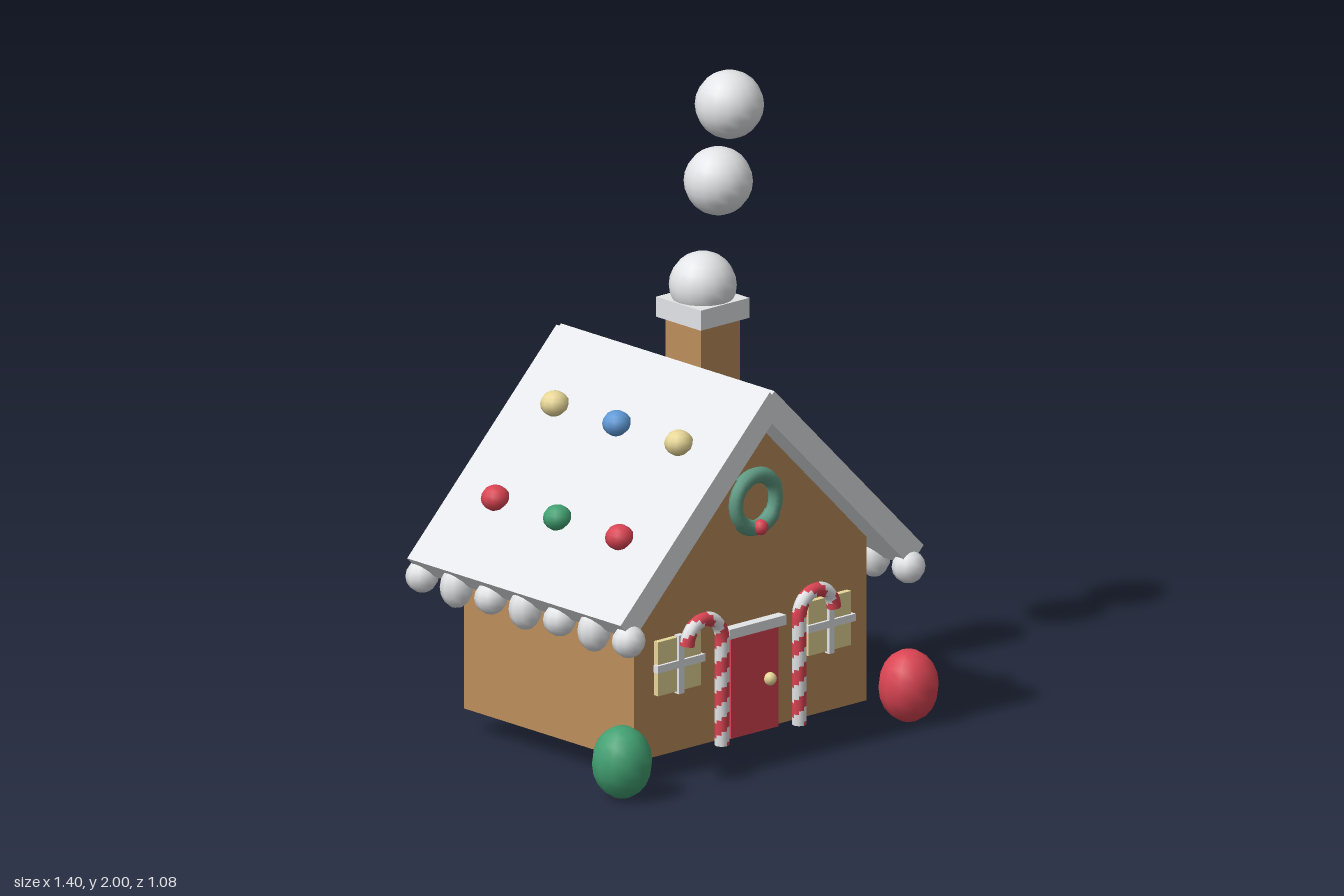
import * as THREE from 'three';

const mat = (name, color) => {
  const m = new THREE.MeshStandardMaterial({ color });
  m.name = name;
  return m;
};

export function createModel() {
  const brown = mat('gingerbread', 0xbc8e5c);
  const white = mat('icing', 0xf2f3f6);
  const red = mat('candy red', 0xd94452);
  const green = mat('candy green', 0x42a072);
  const yellow = mat('candy yellow', 0xf8e6a2);
  const blue = mat('candy blue', 0x5f99d6);
  const wreathGreen = mat('wreath green', 0x5f9a84);

  const house = new THREE.Group();
  house.name = 'gingerbreadHouse';

  const add = (name, geo, material, x = 0, y = 0, z = 0) => {
    const m = new THREE.Mesh(geo, material);
    m.name = name;
    m.position.set(x, y, z);
    house.add(m);
    return m;
  };
  const box = (name, material, w, h, d, x, y, z) =>
    add(name, new THREE.BoxGeometry(w, h, d), material, x, y, z);
  const ball = (name, material, rx, ry, x, y, z, w = 10, h = 8) => {
    const m = add(name, new THREE.SphereGeometry(1, w, h), material, x, y, z);
    m.scale.set(rx, ry, rx);
    return m;
  };

  // Gabled walls
  const gable = new THREE.Shape([
    [-0.49, 0.075], [0.49, 0.075], [0.49, 0.605], [0, 1.1], [-0.49, 0.605],
  ].map(([x, y]) => new THREE.Vector2(x, y)));
  add('walls', new THREE.ExtrudeGeometry(gable, { depth: 0.78, bevelEnabled: false }), brown, 0, 0, -0.39);

  // Roof slabs, icing along the eaves and gumdrops
  const gumdrops = {
    1: [[0.2, 1.03, [green, red, green]], [0.45, 0.775, [yellow, blue, yellow]]],
    '-1': [[0.205, 1.03, [yellow, blue, yellow]], [0.455, 0.775, [red, green, red]]],
  };
  for (const side of [1, -1]) {
    const roof = box('roofSlab', white, 0.89, 0.08, 0.98, side * 0.296, 0.857, 0);
    roof.rotation.z = -side * Math.PI / 4;
    for (let i = 0; i < 7; i++) {
      ball('eaveIcing', white, 0.053, i % 2 ? 0.068 : 0.053,
        side * 0.59, 0.508, 0.474 - i * 0.158, 10, 8);
    }
    for (const [x, y, colours] of gumdrops[side]) {
      colours.forEach((c, i) => ball('gumdrop', c, 0.046, 0.041, side * x, y, 0.285 - i * 0.285));
    }
  }

  // Chimney with snow and smoke
  box('chimney', brown, 0.163, 0.36, 0.163, 0.277, 1.075, -0.13);
  box('chimneyCap', white, 0.205, 0.065, 0.205, 0.277, 1.278, -0.13);
  ball('chimneySnow', white, 0.106, 0.106, 0.277, 1.352, -0.13, 16, 12);
  ball('smokePuff', white, 0.108, 0.108, 0.37, 1.663, -0.16, 16, 12);
  ball('smokePuff', white, 0.108, 0.108, 0.438, 1.892, -0.183, 16, 12);

  // Door
  box('door', red, 0.2, 0.325, 0.03, 0, 0.2375, 0.395);
  box('doorLintel', white, 0.24, 0.032, 0.04, 0, 0.42, 0.405);
  ball('doorKnob', yellow, 0.021, 0.021, 0.058, 0.24, 0.418);

  // Windows with crossed icing bars
  for (const side of [1, -1]) {
    const x = side * 0.317;
    box('windowPane', yellow, 0.18, 0.175, 0.03, x, 0.364, 0.395);
    box('windowBar', white, 0.2, 0.024, 0.02, x, 0.366, 0.41);
    box('windowBar', white, 0.022, 0.19, 0.02, x, 0.364, 0.41);
  }

  // Candy canes with spiral stripes
  for (const side of [1, -1]) {
    const points = [];
    for (let i = 0; i < 14; i++) points.push(new THREE.Vector3(side * 0.163, 0.075 + i * 0.025, 0.437));
    for (let i = 0; i <= 10; i++) {
      const a = i / 10 * Math.PI;
      points.push(new THREE.Vector3(side * (0.236 - 0.073 * Math.cos(a)), 0.425 + 0.073 * Math.sin(a), 0.437));
    }
    const radial = 8, segments = 48;
    const cane = new THREE.TubeGeometry(new THREE.CatmullRomCurve3(points), segments, 0.023, radial, false);
    for (let i = 0; i < segments; i++) {
      for (let j = 0; j < radial; j++) {
        cane.addGroup((i * radial + j) * 6, 6, Math.floor((i + j) / 4) % 2);
      }
    }
    add('candyCane', cane, [white, red]);
    // Closed ends
    const end = new THREE.CircleGeometry(0.023, radial).rotateX(Math.PI / 2);
    add('caneEnd', end, white, side * 0.163, 0.075, 0.437);
    add('caneEnd', end, white, side * 0.309, 0.425, 0.437);
  }

  // Wreath: a ring with two thicker overlapping sprigs and a berry
  add('wreath', new THREE.TorusGeometry(0.084, 0.023, 8, 24), wreathGreen, 0, 0.827, 0.415);
  for (const start of [0.4, 3.8]) {
    const sprig = add('wreathSprig', new THREE.TorusGeometry(0.085, 0.026, 8, 10, 1.9), wreathGreen, 0, 0.827, 0.415);
    sprig.rotation.z = start;
  }
  ball('wreathBerry', red, 0.025, 0.025, 0, 0.748, 0.437);

  // Large sweets beside the front corners
  ball('greenSweet', green, 0.096, 0.116, -0.605, 0.116, 0.46, 12, 10);
  ball('redSweet', red, 0.096, 0.116, 0.603, 0.116, 0.46, 12, 10);

  return house;
}
